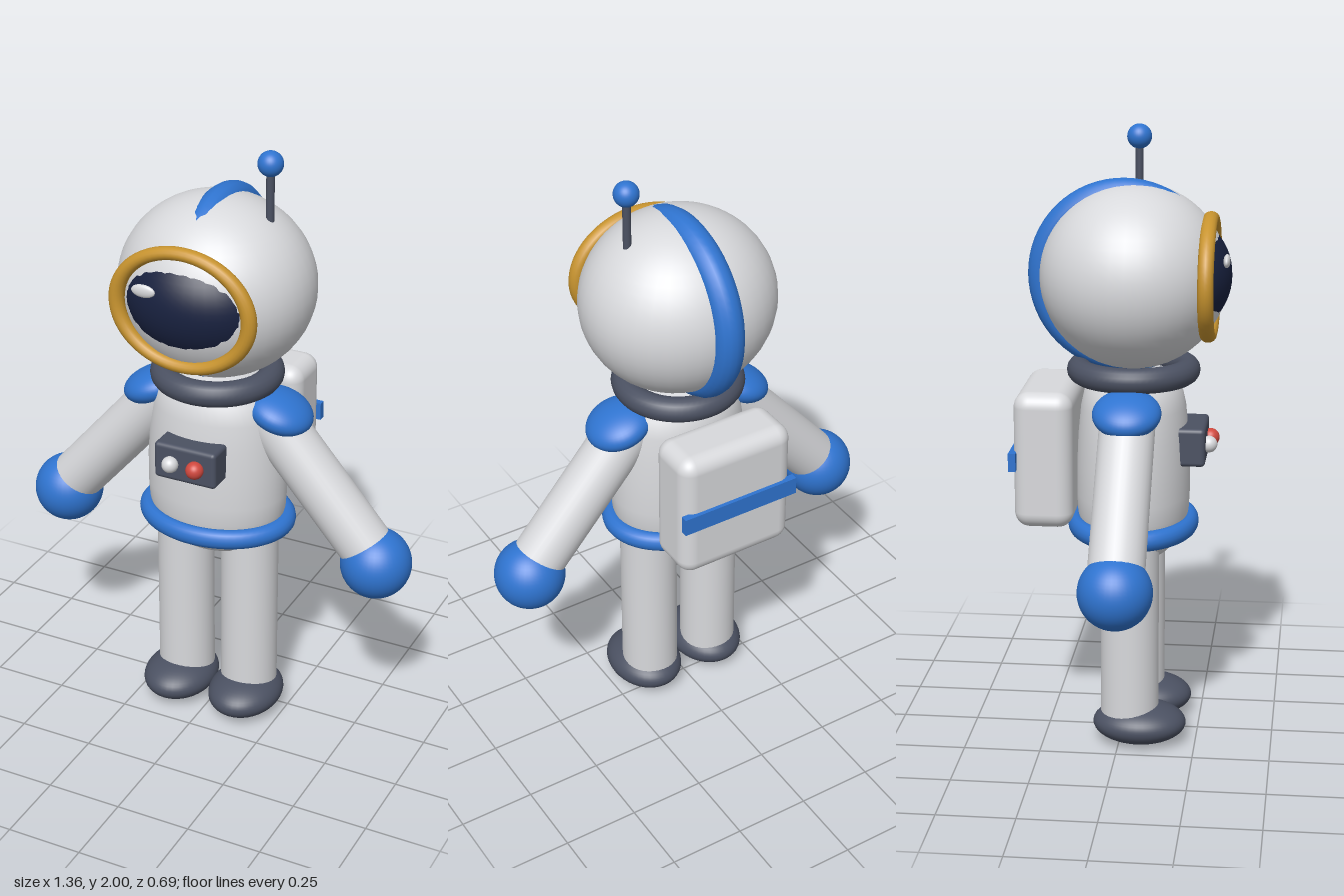
import * as THREE from 'three';
import { RoundedBoxGeometry } from 'three/addons/geometries/RoundedBoxGeometry.js';

export function createModel() {
  const model = new THREE.Group();
  const mat = (name, color) => {
    const m = new THREE.MeshStandardMaterial({ color });
    m.name = name;
    return m;
  };
  const suit = mat('suit white', 0xd8d9dc);
  const blue = mat('trim blue', 0x2f74d0);
  const dark = mat('dark grey', 0x4b5162);
  const gold = mat('gold', 0xc8942f);
  const navy = mat('visor navy', 0x18213f);
  const red = mat('button red', 0xd0483e);

  const Z = 0.033; // depth of the body axis
  const add = (name, geometry, material, x, y, z) => {
    const mesh = new THREE.Mesh(geometry, material);
    mesh.name = name;
    mesh.position.set(x, y, z);
    model.add(mesh);
    return mesh;
  };
  const ball = (name, material, x, y, z, rx, ry = rx, rz = rx) =>
    add(name, new THREE.SphereGeometry(1, 40, 28).scale(rx, ry, rz), material, x, y, z);
  const ring = (R, t) => new THREE.TorusGeometry(R, t, 16, 64);

  // Helmet with crest band, visor and gold rim
  ball('helmet', suit, 0, 1.54, Z, 0.317, 0.295, 0.3);
  add('helmetStripe', ring(0.26, 0.051).rotateY(Math.PI / 2), blue, 0, 1.54, 0.004);
  ball('visor', navy, 0, 1.545, 0.169, 0.235, 0.19, 0.177);
  add('visorRim', ring(0.225, 0.025).scale(1, 0.825, 1), gold, 0, 1.54, 0.275);
  ball('visorGlint', suit, -0.1, 1.61, 0.334, 0.04, 0.021, 0.011);

  // Antenna
  add('antennaRod', new THREE.CylinderGeometry(0.013, 0.013, 0.24, 16), dark, 0.178, 1.83, Z);
  ball('antennaTip', blue, 0.178, 1.96, Z, 0.04);

  // Torso, collar and belt
  const profile = [
    [0, 0.61], [0.08, 0.615], [0.145, 0.635], [0.19, 0.67], [0.217, 0.715], [0.232, 0.77], [0.236, 0.83],
    [0.235, 0.93], [0.228, 1.03], [0.217, 1.12], [0.2, 1.18], [0.16, 1.22], [0, 1.24],
  ].map(([r, y]) => new THREE.Vector2(r, y));
  add('torso', new THREE.LatheGeometry(profile, 48).scale(1, 1, 0.78), suit, 0, 0, Z);
  add('collar', ring(0.174, 0.041).rotateX(Math.PI / 2), dark, 0, 1.236, Z);
  add('belt', ring(0.234, 0.033).rotateX(Math.PI / 2).scale(1, 1, 0.8), blue, 0, 0.725, Z);

  // Chest panel with two buttons
  add('chestPanel', new RoundedBoxGeometry(0.216, 0.125, 0.11, 3, 0.014), dark, 0, 1.003, 0.217);
  ball('whiteButton', suit, -0.045, 1.003, 0.281, 0.027);
  ball('redButton', red, 0.042, 1.003, 0.281, 0.029);

  // Backpack with its stripe
  add('backpack', new RoundedBoxGeometry(0.406, 0.445, 0.19, 5, 0.05), suit, 0, 0.967, -0.24);
  add('backpackStripe', new THREE.BoxGeometry(0.414, 0.06, 0.024), blue, 0, 0.967, -0.336);

  // Limbs, mirrored left and right
  for (const s of [1, -1]) {
    const side = s > 0 ? 'left' : 'right';
    const shoulder = new THREE.Vector3(s * 0.185, 1.12, Z);
    const wrist = new THREE.Vector3(s * 0.56, 0.69, Z);
    const dir = wrist.clone().sub(shoulder);
    const mid = shoulder.clone().add(wrist).multiplyScalar(0.5);
    const arm = add(side + 'Arm', new THREE.CylinderGeometry(0.089, 0.089, dir.length(), 32),
      suit, mid.x, mid.y, mid.z);
    arm.quaternion.setFromUnitVectors(new THREE.Vector3(0, -1, 0), dir.normalize());
    ball(side + 'ShoulderPad', blue, s * 0.222, 1.142, Z, 0.11, 0.059, 0.109).rotation.z = -s * 0.35;
    ball(side + 'Glove', blue, s * 0.566, 0.672, Z, 0.116);
    add(side + 'Leg', new THREE.CylinderGeometry(0.095, 0.095, 0.64, 32), suit, s * 0.118, 0.38, Z);
    ball(side + 'Boot', dark, s * 0.123, 0.068, 0.066, 0.122, 0.068, 0.153);
  }
  return model;
}
